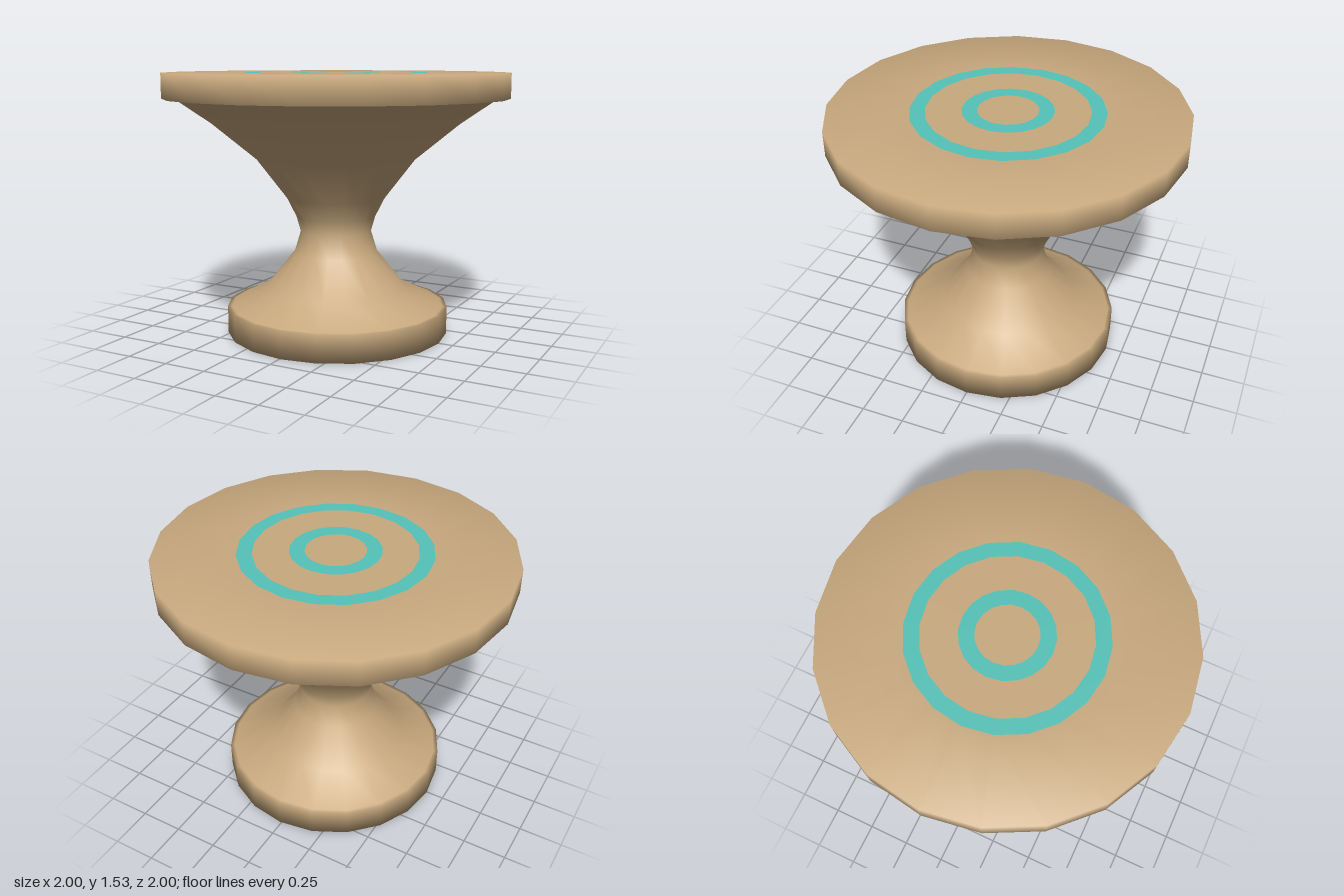
import * as THREE from 'three';

const SIDES = 20;
const TOP = 1.53;
const wood = new THREE.MeshStandardMaterial({ color: 0xc8a97e });
const teal = new THREE.MeshStandardMaterial({ color: 0x55c2b8 });

// Turned part from [radius, height] pairs, listed from the bottom up and then inwards
function turned(name, profile, material) {
  const points = profile.map(([r, y]) => new THREE.Vector2(r, y));
  const mesh = new THREE.Mesh(new THREE.LatheGeometry(points, SIDES), material);
  mesh.name = name;
  return mesh;
}

// Flat band of the table top between two radii
const band = (name, outer, inner, material) =>
  turned(name, [[outer, TOP], [inner, TOP]], material);

export function createModel() {
  const group = new THREE.Group();
  group.name = 'pedestalTable';

  // Foot disc, waisted pedestal, rim and outer part of the top in one turning
  const body = turned('pedestalBody', [
    [0, 0], [0.655, 0], [0.655, 0.16], [0.63, 0.16],
    [0.41, 0.27], [0.25, 0.47], [0.21, 0.6], [0.235, 0.69], [0.29, 0.8],
    [0.465, 1.03], [0.72, 1.24], [0.93, 1.385],
    [1, 1.385], [1, TOP], [0.54, TOP],
  ], wood);

  // The foot sits slightly off the axis
  const pos = body.geometry.attributes.position;
  for (let i = 0; i < pos.count; i++) {
    if (pos.getY(i) < 0.2) pos.setX(i, pos.getX(i) + 0.01);
  }
  group.add(body);

  // Coloured rings set flush in the top
  group.add(
    band('outerRing', 0.54, 0.455, teal),
    band('middleBand', 0.455, 0.255, wood),
    band('innerRing', 0.255, 0.17, teal),
    band('centreDisc', 0.17, 0, wood),
  );
  return group;
}
